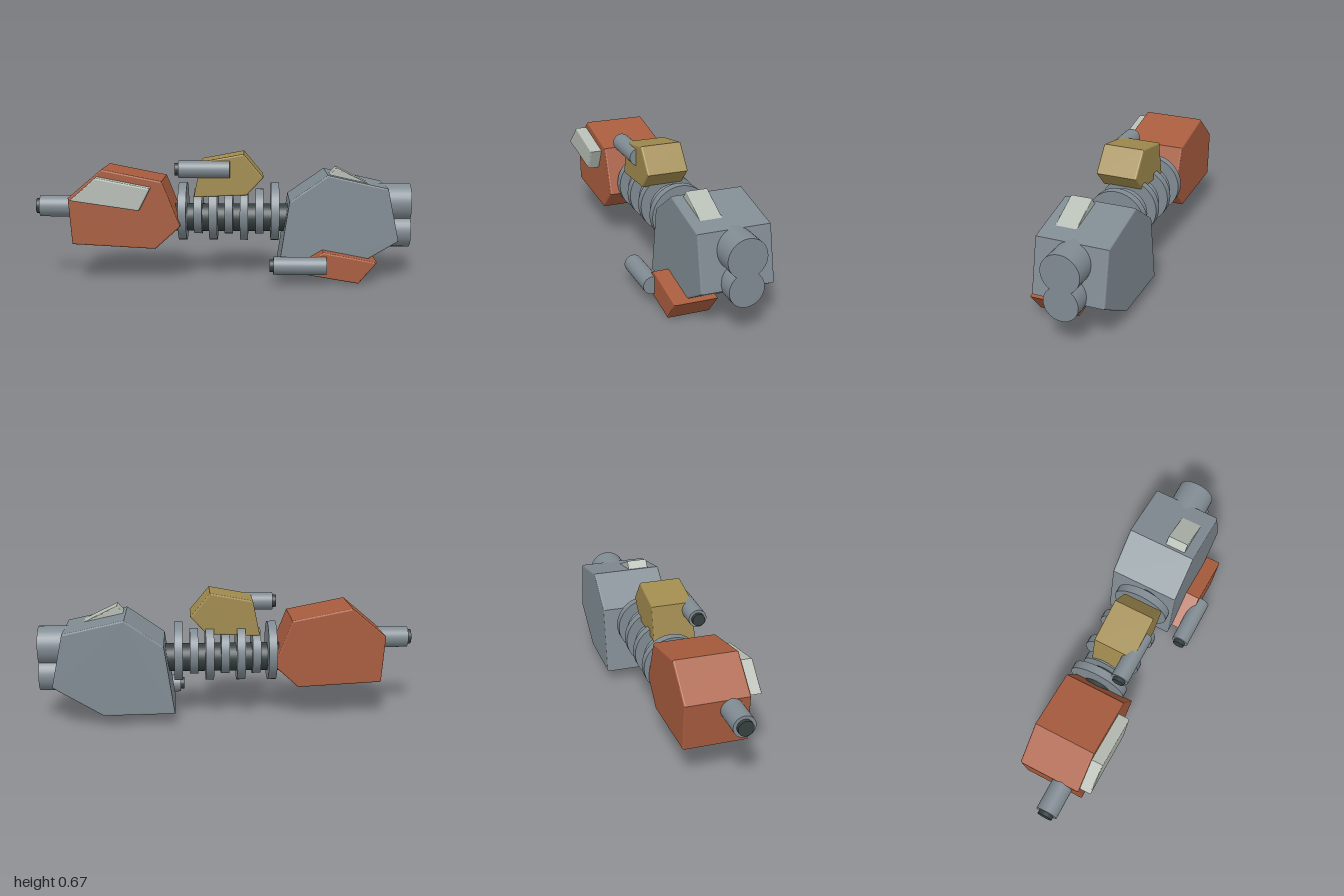
import * as THREE from 'three';

const material = (name, color) => {
  const m = new THREE.MeshStandardMaterial({ color });
  m.name = name;
  return m;
};

export function createModel() {
  const model = new THREE.Group();
  model.name = 'segmentedSpacecraft';
  const grey = material('steel grey', 0x808b92);
  const rust = material('rust red', 0xa85c3e);
  const gold = material('dull gold', 0xa08a4e);
  const pale = material('pale grey', 0xb6bdb4);
  const dark = material('dark metal', 0x363f40);

  const add = (name, geometry, mat) => {
    const mesh = new THREE.Mesh(geometry, mat);
    mesh.name = name;
    model.add(mesh);
    return mesh;
  };

  // Faceted block: side outline in x/y, spanning z0 to z1, with a slim rounded bevel
  const block = (name, points, z0, z1, mat, bevel = 0.008) => {
    const shape = new THREE.Shape(points.map(([x, y]) => new THREE.Vector2(x, y)));
    const geometry = new THREE.ExtrudeGeometry(shape, {
      depth: z1 - z0 - 2 * bevel,
      bevelThickness: bevel,
      bevelSize: bevel,
      bevelOffset: -bevel,
      bevelSegments: 3,
    });
    geometry.translate(0, 0, z0 + bevel);
    return add(name, geometry, mat);
  };

  // Cylinder lying along x from x0 to x1
  const rod = (name, x0, x1, y, z, radius, mat) => {
    const geometry = new THREE.CylinderGeometry(radius, radius, x1 - x0, 32);
    geometry.rotateZ(Math.PI / 2);
    geometry.translate((x0 + x1) / 2, y, z);
    return add(name, geometry, mat);
  };

  // Gun tube with a narrower dark muzzle at its -x end
  const gun = (name, x0, x1, y, z, radius) => {
    rod(name + 'Barrel', x0, x1, y, z, radius, grey);
    rod(name + 'Muzzle', x0 - 0.02, x0 + 0.01, y, z, radius * 0.7, dark);
  };

  // Nose hull with its side panel and gun
  block('noseHull', [
    [-0.82, 0.44], [-0.80, 0.195], [-0.36, 0.172], [-0.23, 0.29], [-0.325, 0.53], [-0.64, 0.592],
  ], -0.17, 0.162, rust);
  block('noseSidePanel', [
    [-0.80, 0.435], [-0.44, 0.383], [-0.38, 0.50], [-0.665, 0.555],
  ], 0.15, 0.224, pale);
  gun('nose', -0.98, -0.76, 0.387, 0.067, 0.057);

  // Spine with alternating large and small rings
  rod('spine', -0.32, 0.42, 0.312, -0.04, 0.075, dark);
  for (let i = 0; i < 7; i++) {
    const x = -0.225 + i * 0.0825;
    rod('spineRing' + (i + 1), x - 0.022, x + 0.022, 0.346, -0.04, i % 2 ? 0.122 : 0.156, grey);
  }

  // Upper pod and its gun
  block('upperPod', [
    [-0.16, 0.44], [0.12, 0.452], [0.207, 0.545], [0.103, 0.67], [-0.122, 0.628],
  ], -0.115, 0.108, gold);
  gun('upperPod', -0.24, 0.03, 0.588, 0.093, 0.047);

  // Stern hull with its roof fin
  block('sternHull', [
    [0.29, 0.062], [0.66, 0.056], [0.92, 0.21], [0.862, 0.49], [0.545, 0.56], [0.345, 0.42],
  ], -0.257, 0.12, grey);
  block('roofFin', [
    [0.55, 0.545], [0.62, 0.51], [0.775, 0.507], [0.592, 0.595],
  ], -0.05, 0.063, pale, 0.005);

  // Twin overlapping engines
  rod('upperEngine', 0.7, 1, 0.396, -0.073, 0.101, grey);
  rod('lowerEngine', 0.7, 1, 0.241, -0.073, 0.09, grey);

  // Lower pod and its gun
  block('lowerPod', [
    [0.345, 0.06], [0.705, 0], [0.80, 0.112], [0.52, 0.165],
  ], -0.025, 0.2, rust);
  gun('lowerPod', 0.26, 0.535, 0.097, 0.211, 0.047);

  return model;
}
